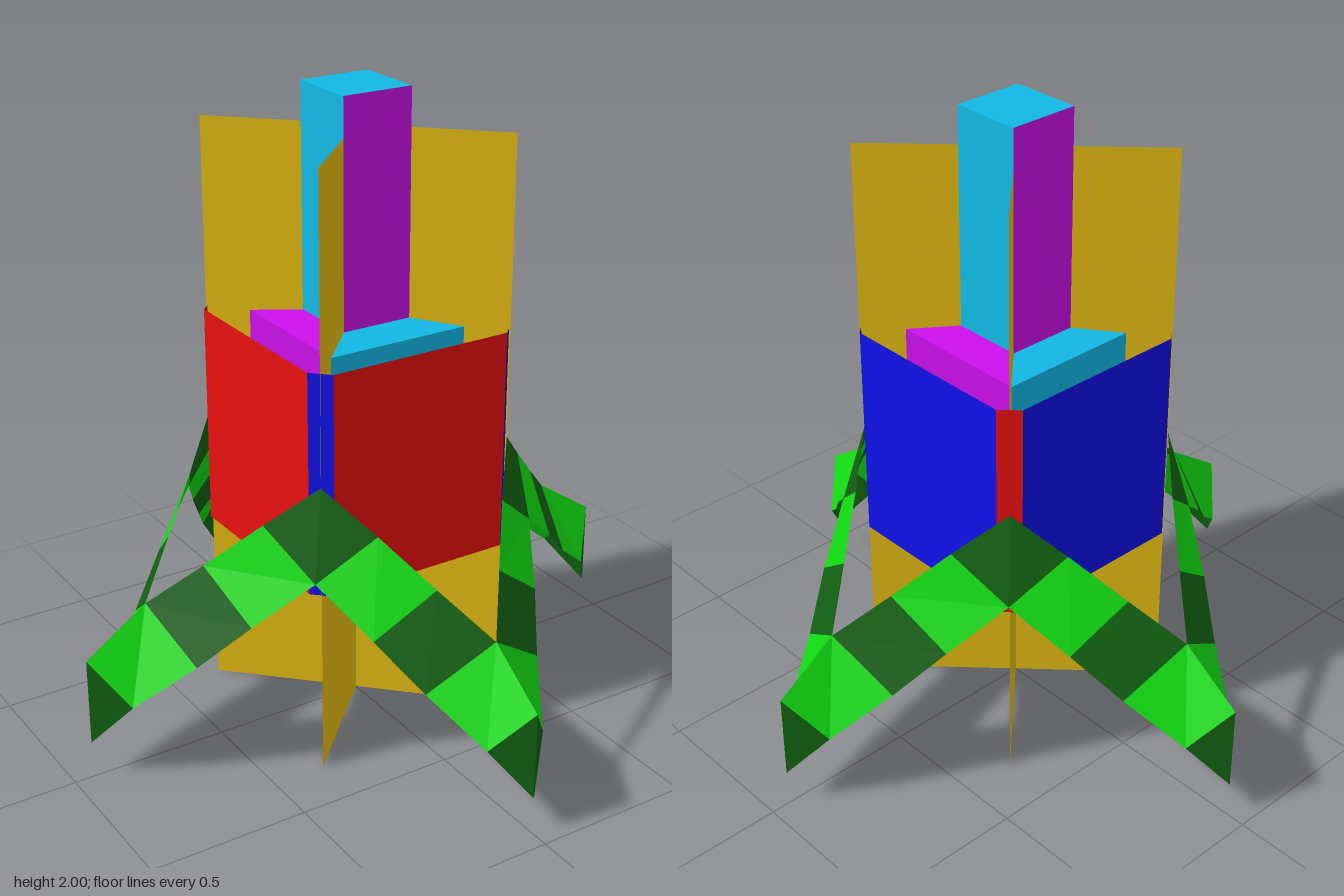
import * as THREE from 'three';

const paint = (name, color) => {
  const m = new THREE.MeshStandardMaterial({ color, side: THREE.DoubleSide });
  m.name = name;
  return m;
};

// Flat-shaded mesh from a list of convex polygons, each a list of [x, y, z] corners
function facets(name, polygons, material) {
  const pos = [];
  for (const p of polygons)
    for (let i = 1; i < p.length - 1; i++) pos.push(...p[0], ...p[i], ...p[i + 1]);
  const g = new THREE.BufferGeometry();
  g.setAttribute('position', new THREE.Float32BufferAttribute(pos, 3));
  g.computeVertexNormals();
  const mesh = new THREE.Mesh(g, material);
  mesh.name = name;
  return mesh;
}

export function createModel() {
  const red = paint('red', 0xe81010);
  const blue = paint('blue', 0x1010e8);
  const purple = paint('purple', 0xc810e8);
  const cyan = paint('cyan', 0x12b8e4);
  const gold = paint('gold', 0xe0b912);
  const brightGreen = paint('bright green', 0x12dc12);
  const darkGreen = paint('dark green', 0x126012);

  const model = new THREE.Group();
  model.name = 'tower';

  // Two crossed diagonal fins
  for (const s of [1, -1]) {
    const fin = new THREE.Mesh(new THREE.PlaneGeometry(0.66 * Math.SQRT2, 1.88), gold);
    fin.name = 'fin';
    fin.position.y = 0.94;
    fin.rotation.y = s * Math.PI / 4;
    model.add(fin);
  }

  // Open eight-sided sleeve: wide walls with narrow corner strips
  const w = 0.3, r = 0.353, low = 0.59, high = 1.29;
  const ring = [[-w, r], [w, r], [r, w], [r, -w], [w, -r], [-w, -r], [-r, -w], [-r, w]];
  const ringPaint = [red, blue, blue, red, blue, red, red, blue];
  const sleeve = new THREE.Group();
  sleeve.name = 'sleeve';
  ring.forEach(([x, z], i) => {
    const [x2, z2] = ring[(i + 1) % 8];
    sleeve.add(facets(i % 2 ? 'cornerStrip' : 'wall',
      [[[x, low, z], [x2, low, z2], [x2, high, z2], [x, high, z]]], ringPaint[i]));
  });
  model.add(sleeve);

  // Central column
  const column = new THREE.Mesh(new THREE.BoxGeometry(0.23, 1.32, 0.23),
    [cyan, cyan, cyan, purple, purple, purple]);
  column.name = 'column';
  column.position.y = 1.34;
  model.add(column);

  // Collar around the column: four sides, each with a slope, a wall and an underside
  const a = 0.115, b = 0.232;
  for (let i = 0; i < 4; i++) {
    const side = facets('collarSide', [
      [[-b, 1.285, b], [b, 1.285, b], [a, 1.3, a], [-a, 1.3, a]],
      [[-b, 1.15, b], [b, 1.15, b], [b, 1.285, b], [-b, 1.285, b]],
      [[-a, 1.135, a], [a, 1.135, a], [b, 1.15, b], [-b, 1.15, b]],
    ], i % 2 ? purple : cyan);
    side.rotation.y = i * Math.PI / 2;
    model.add(side);
  }

  // Half of one leg: a banded ribbon from the sleeve corner down to the tip
  const inner = [[0, 0.535, 0.74], [0.11, 0.67, 0.6], [0.22, 0.81, 0.46], [0.33, 0.94, 0.33]];
  const outer = [[0, 0.12, 0.94], [0.1, 0.26, 0.845], [0.2, 0.395, 0.68],
    [0.29, 0.53, 0.545], [0.385, 0.67, 0.385]];
  const tip = [0, 0.4, 0.94];
  const bright = [
    [inner[0], tip, outer[1]],
    [inner[0], outer[1], outer[2]],
    [inner[1], outer[3], outer[4], inner[2]],
  ];
  const dark = [
    [tip, outer[0], outer[1]],
    [inner[0], outer[2], outer[3], inner[1]],
    [inner[2], outer[4], inner[3]],
  ];
  const mirrored = (polys) => polys.map((p) => p.map(([x, y, z]) => [-x, y, z]).reverse());

  // Four legs
  for (let i = 0; i < 4; i++) {
    const leg = new THREE.Group();
    leg.name = 'leg';
    leg.add(facets('brightBands', [...bright, ...mirrored(bright)], brightGreen));
    leg.add(facets('darkBands', [...dark, ...mirrored(dark)], darkGreen));
    leg.rotation.y = i * Math.PI / 2;
    model.add(leg);
  }
  return model;
}
